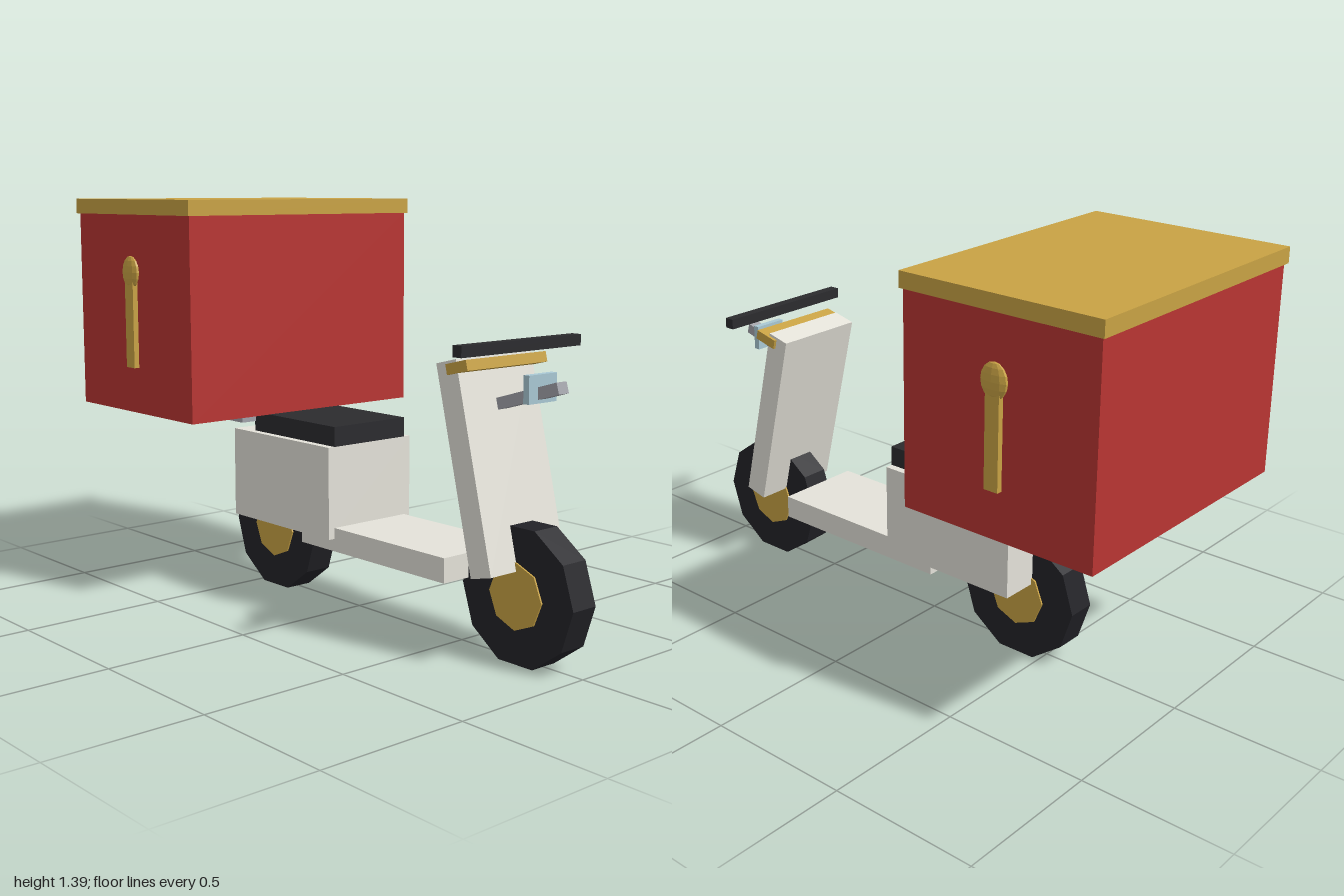
import * as THREE from 'three';

const mat = (color) => new THREE.MeshStandardMaterial({ color, flatShading: true });

export function createModel() {
  const model = new THREE.Group();
  model.name = 'deliveryScooter';

  const cream = mat(0xe4e2d9);
  const red = mat(0xb83532);
  const gold = mat(0xc8a244);
  const rubber = mat(0x222227);
  const dark = mat(0x2b2b2e);
  const steel = mat(0xa2a3aa);
  const glass = mat(0xa9c8d4);

  function add(name, geometry, material, x, y, z, tilt = 0) {
    const mesh = new THREE.Mesh(geometry, material);
    mesh.name = name;
    mesh.position.set(x, y, z);
    mesh.rotation.x = tilt;
    model.add(mesh);
    return mesh;
  }
  const box = (name, material, [w, h, d], [x, y, z], tilt) =>
    add(name, new THREE.BoxGeometry(w, h, d), material, x, y, z, tilt);

  // Wheels: ten-sided tyre with an eight-sided hub
  const disc = (r, width, sides) => new THREE.CylinderGeometry(r, r, width, sides).rotateZ(Math.PI / 2);
  for (const [end, z] of [['front', 0.776], ['rear', -0.407]]) {
    add(end + 'Tyre', disc(0.2245, 0.1, 10), rubber, 0, 0.2135, z);
    add(end + 'Hub', disc(0.106, 0.112, 8), gold, 0, 0.2135, z);
  }

  // Frame, body and seat
  box('footboard', cream, [0.314, 0.08, 0.695], [0, 0.27, 0.2275]);
  box('rearBody', cream, [0.364, 0.311, 0.522], [0, 0.4285, -0.206]);
  box('seat', dark, [0.312, 0.067, 0.435], [0, 0.617, -0.1625]);

  // Leaning leg shield with its trim
  const lean = -0.24;
  box('legShield', cream, [0.33, 0.655, 0.085], [0, 0.6, 0.661], lean);
  box('shieldTrim', gold, [0.35, 0.033, 0.088], [0, 0.905, 0.637], lean);

  // Handlebar, headlamp arm and lens
  box('handlebar', dark, [0.522, 0.035, 0.035], [0, 0.966, 0.725]);
  box('lampArm', steel, [0.044, 0.036, 0.25], [0, 0.82, 0.779], -0.29);
  box('lampLens', glass, [0.122, 0.086, 0.022], [0, 0.846, 0.812]);

  // Cargo box on its rack
  box('rack', steel, [0.43, 0.032, 0.441], [0, 0.634, -0.5955]);
  box('cargoBox', red, [0.956, 0.69, 0.693], [0, 0.995, -0.6435]);
  box('cargoLid', gold, [0.974, 0.052, 0.712], [0, 1.365, -0.644]);

  // Spoon ornaments on both sides of the box
  for (const [label, s] of [['left', 1], ['right', -1]]) {
    box(label + 'SpoonHandle', gold, [0.02, 0.31, 0.05], [s * 0.487, 0.965, -0.643]);
    const bowl = new THREE.SphereGeometry(1, 10, 8).scale(0.015, 0.057, 0.048);
    add(label + 'SpoonBowl', bowl, gold, s * 0.488, 1.141, -0.643);
  }

  return model;
}
